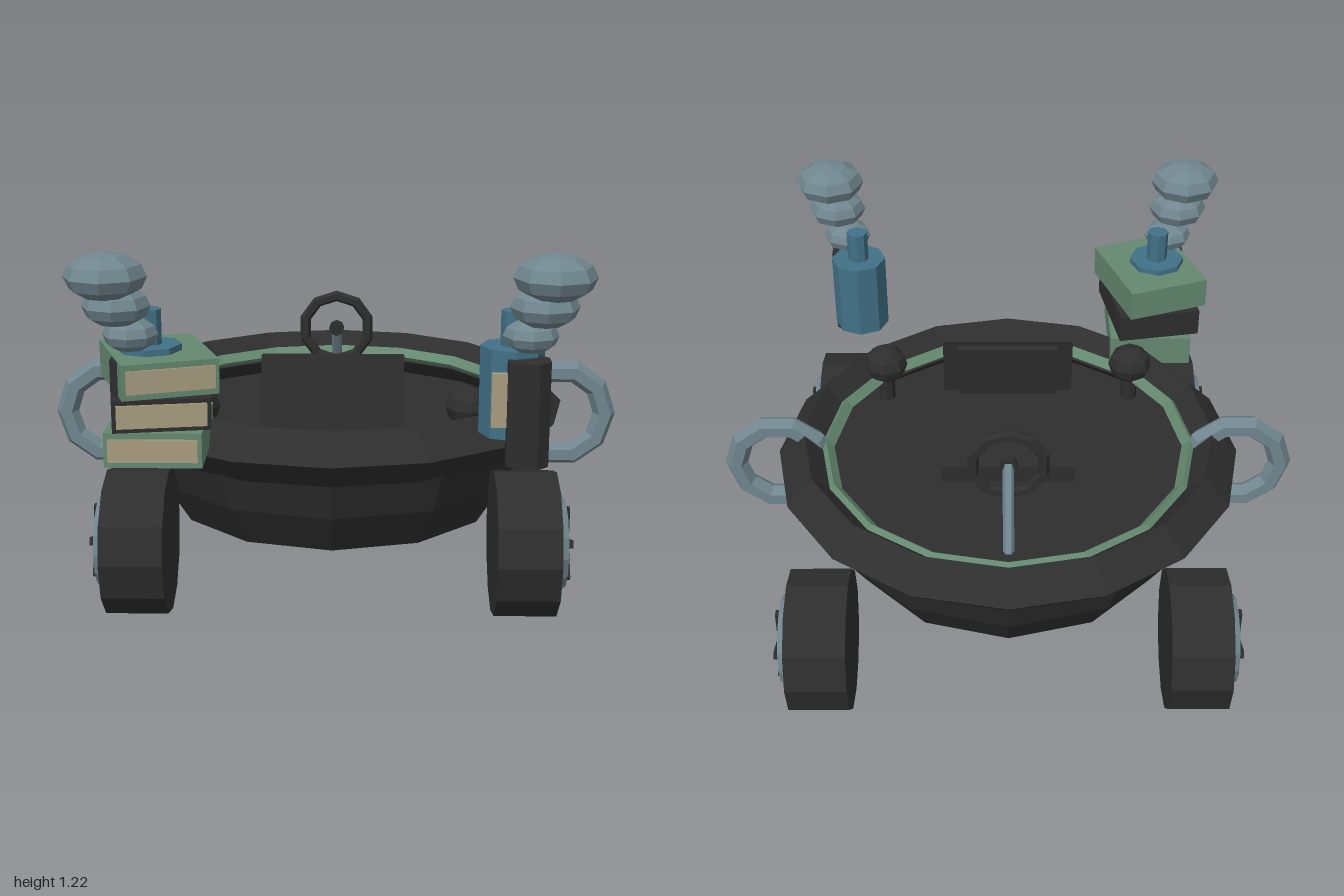
import * as THREE from 'three';

const mat = (name, color) => {
  const m = new THREE.MeshStandardMaterial({ color });
  m.name = name;
  return m;
};

export function createModel() {
  const root = new THREE.Group();
  root.name = 'bowlBuggy';
  const dark = mat('charcoal', 0x2e2e2e);
  const green = mat('sageGreen', 0x64886f);
  const steel = mat('steelBlue', 0x70868f);
  const blue = mat('bottleBlue', 0x417187);
  const cream = mat('paperCream', 0xa99d80);

  // Faceted mesh: every triangle gets its own normal
  const add = (name, geo, material, x = 0, y = 0, z = 0, parent = root) => {
    const g = geo.index ? geo.toNonIndexed() : geo;
    g.computeVertexNormals();
    const mesh = new THREE.Mesh(g, material);
    mesh.name = name;
    mesh.position.set(x, y, z);
    parent.add(mesh);
    return mesh;
  };
  const box = (w, h, d) => new THREE.BoxGeometry(w, h, d);
  const cyl = (top, bottom, h, n) => new THREE.CylinderGeometry(top, bottom, h, n);
  const ring = (r, tube, sides, n) => new THREE.TorusGeometry(r, tube, sides, n);
  const group = (name, x, y, z) => {
    const g = new THREE.Group();
    g.name = name;
    g.position.set(x, y, z);
    root.add(g);
    return g;
  };

  // Bowl body with floor, diamond-section rim and green inner trim
  const cz = -0.06;
  add('bowlLower', cyl(0.66, 0.57, 0.14, 12), dark, 0, 0.25, cz);
  add('bowlUpper', cyl(0.72, 0.66, 0.16, 12), dark, 0, 0.4, cz);
  add('rim', ring(0.715, 0.092, 4, 16).rotateX(Math.PI / 2), dark, 0, 0.54, cz);
  add('innerTrim', ring(0.64, 0.028, 4, 16).rotateX(Math.PI / 2), green, 0, 0.56, cz);

  // Wheels, hubs on the outer side
  for (const side of [1, -1]) {
    for (const z of [0.575, -0.69]) {
      const w = group('wheel', side * 0.62, 0.238, z);
      if (side < 0) w.rotation.y = Math.PI;
      add('tire', cyl(0.238, 0.238, 0.2, 12).rotateZ(-Math.PI / 2).rotateX(Math.PI / 2), dark, 0, 0, 0, w);
      add('hubDisc', cyl(0.12, 0.12, 0.03, 12).rotateZ(-Math.PI / 2), green, 0.105, 0, 0, w);
      add('hubRing', ring(0.132, 0.028, 6, 14).rotateY(Math.PI / 2), steel, 0.105, 0, 0, w);
      for (let i = 0; i < 5; i++) {
        const spoke = box(0.03, 0.12, 0.026).translate(0, 0.06, 0).rotateX(i * Math.PI * 0.4);
        add('spoke', spoke, dark, 0.13, 0, 0, w);
      }
    }
  }

  // Parts repeated on both sides
  const puffs = [[0.605, 0.96, 0.735, 0.086], [0.64, 1.055, 0.77, 0.105], [0.665, 1.15, 0.8, 0.126]];
  for (const s of [1, -1]) {
    add('sideHandle', ring(0.158, 0.04, 6, 10), steel, s * 0.805, 0.495, cz)
      .rotation.y = s < 0 ? Math.PI : 0;
    add('knobStem', cyl(0.03, 0.03, 0.14, 8), dark, s * 0.453, 0.54, 0.355);
    add('knob', new THREE.SphereGeometry(0.08, 8, 6).scale(1, 0.85, 1), dark, s * 0.453, 0.63, 0.355);

    // Bottle with neck and paper label
    add('bottle', cyl(0.1, 0.1, 0.28, 8), blue, s * 0.56, 0.77, 0.645);
    add('bottleNeck', cyl(0.038, 0.038, 0.12, 8), blue, s * 0.56, 0.96, 0.645);
    add('label', box(0.06, 0.17, 0.02), cream, s * 0.52, 0.76, 0.745);

    // Exhaust pipe and rising smoke
    add('exhaustPipe', cyl(0.07, 0.07, 0.33, 8).rotateY(Math.PI / 8), dark, s * 0.602, 0.722, 0.742);
    for (const [x, y, z, r] of puffs) {
      const puff = new THREE.SphereGeometry(r, 8, 6).scale(1, 0.62 - (r - 0.086) * 1.2, 1);
      add('smokePuff', puff, steel, s * x, y, z);
    }
  }

  // Stack of three fanned books
  [green, dark, green].forEach((cover, i) => {
    const b = group('book', -0.537, 0.615 + i * 0.11, 0.635);
    b.rotation.y = i * 0.17;
    add('cover', box(0.3, i === 1 ? 0.1 : 0.11, 0.36), cover, 0, 0, 0, b);
    add('pages', box(0.275, 0.072, 0.009), cream, 0, 0, 0.183, b);
  });

  // Seat
  add('seatCushion', box(0.47, 0.07, 0.54), dark, 0, 0.51, 0.11);
  const back = group('seatBack', 0, 0.65, 0.33);
  back.rotation.x = -0.16;
  add('backrest', box(0.47, 0.29, 0.09), dark, 0, 0, 0, back);
  add('backPad', box(0.36, 0.23, 0.03), dark, 0, 0.01, -0.055, back);

  // Steering wheel and column
  add('steeringWheel', ring(0.122, 0.02, 6, 10).rotateZ(Math.PI / 10), dark, 0, 0.73, -0.378);
  const path = new THREE.LineCurve3(new THREE.Vector3(0, 0.47, -0.53), new THREE.Vector3(0, 0.735, -0.378));
  add('steeringColumn', new THREE.TubeGeometry(path, 1, 0.019, 6), steel);
  add('steeringHub', cyl(0.028, 0.028, 0.03, 8).rotateX(Math.PI / 2), dark, 0, 0.73, -0.375);

  return root;
}
